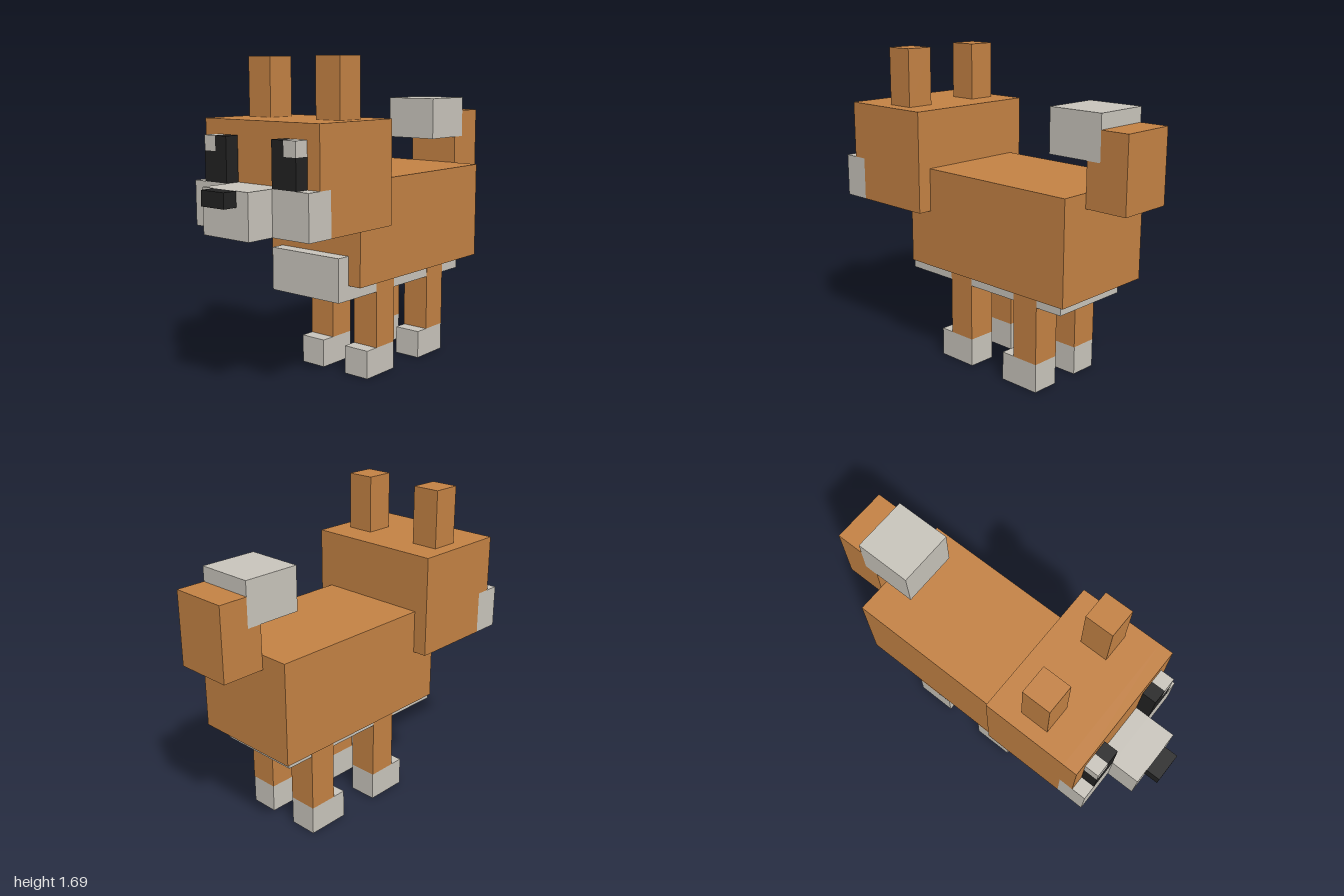
import * as THREE from 'three';

const U = 1 / 13; // one block unit

const mat = (name, color) => {
  const m = new THREE.MeshStandardMaterial({ color });
  m.name = name;
  return m;
};

export function createModel() {
  const model = new THREE.Group();
  model.name = 'blockFox';
  const orange = mat('orange fur', 0xc48244);
  const cream = mat('pale fur', 0xc9c5bc);
  const black = mat('black', 0x222222);
  const gold = mat('gold', 0xc8a820);

  // Box from its ranges in block units
  const block = (name, material, [x0, x1], [y0, y1], [z0, z1]) => {
    const mesh = new THREE.Mesh(
      new THREE.BoxGeometry((x1 - x0) * U, (y1 - y0) * U, (z1 - z0) * U), material);
    mesh.position.set((x0 + x1) / 2 * U, (y0 + y1) / 2 * U, (z0 + z1) / 2 * U);
    mesh.name = name;
    model.add(mesh);
  };
  // The same box on both sides
  const pair = (name, material, [x0, x1], y, z) => {
    block(name + 'Left', material, [x0, x1], y, z);
    block(name + 'Right', material, [-x1, -x0], y, z);
  };

  // Body with pale belly and chest
  block('body', orange, [-4, 4], [7, 14], [-10, 4]);
  block('belly', cream, [-3, 3], [6, 7.5], [-9, 4]);
  block('chest', cream, [-3, 3], [6, 9], [4, 5]);

  // Head, notched for the cheeks
  block('head', orange, [-5, 5], [11, 18], [2, 8]);
  block('brow', orange, [-5, 5], [14, 18], [8, 9]);
  block('cheeks', cream, [-5, 5], [11, 14], [8, 10]);
  block('muzzle', cream, [-2, 2], [11, 14], [10, 12]);
  block('nose', black, [-1, 1], [13, 14], [12, 13]);
  block('collarTag', gold, [-1, 1], [10, 11], [5, 6]);
  pair('ear', orange, [2, 4], [18, 22], [4, 6]);

  // Eyes with a glint in the outer upper corner
  pair('eyeLower', black, [2, 4], [14, 16], [9, 10]);
  pair('eyeUpper', black, [2, 3], [16, 17], [9, 10]);
  pair('eyeGlint', cream, [3, 4], [16, 17], [9, 10]);

  // Legs, a hair wider than the belly so they show over its sides
  for (const [end, z] of [['front', -1], ['hind', -7]]) {
    pair(end + 'Leg', orange, [0.98, 3.02], [2, 7], [z, z + 2]);
    pair(end + 'Paw', cream, [1, 3], [0, 2], [z, z + 3]);
  }

  // Upright tail curling forward to a pale tip
  block('tail', orange, [-2, 2], [13, 18], [-13, -11]);
  block('tailRoot', orange, [-2, 2], [13, 16], [-11, -10]);
  block('tailTip', cream, [-2, 2], [16, 19], [-11, -7]);

  return model;
}
